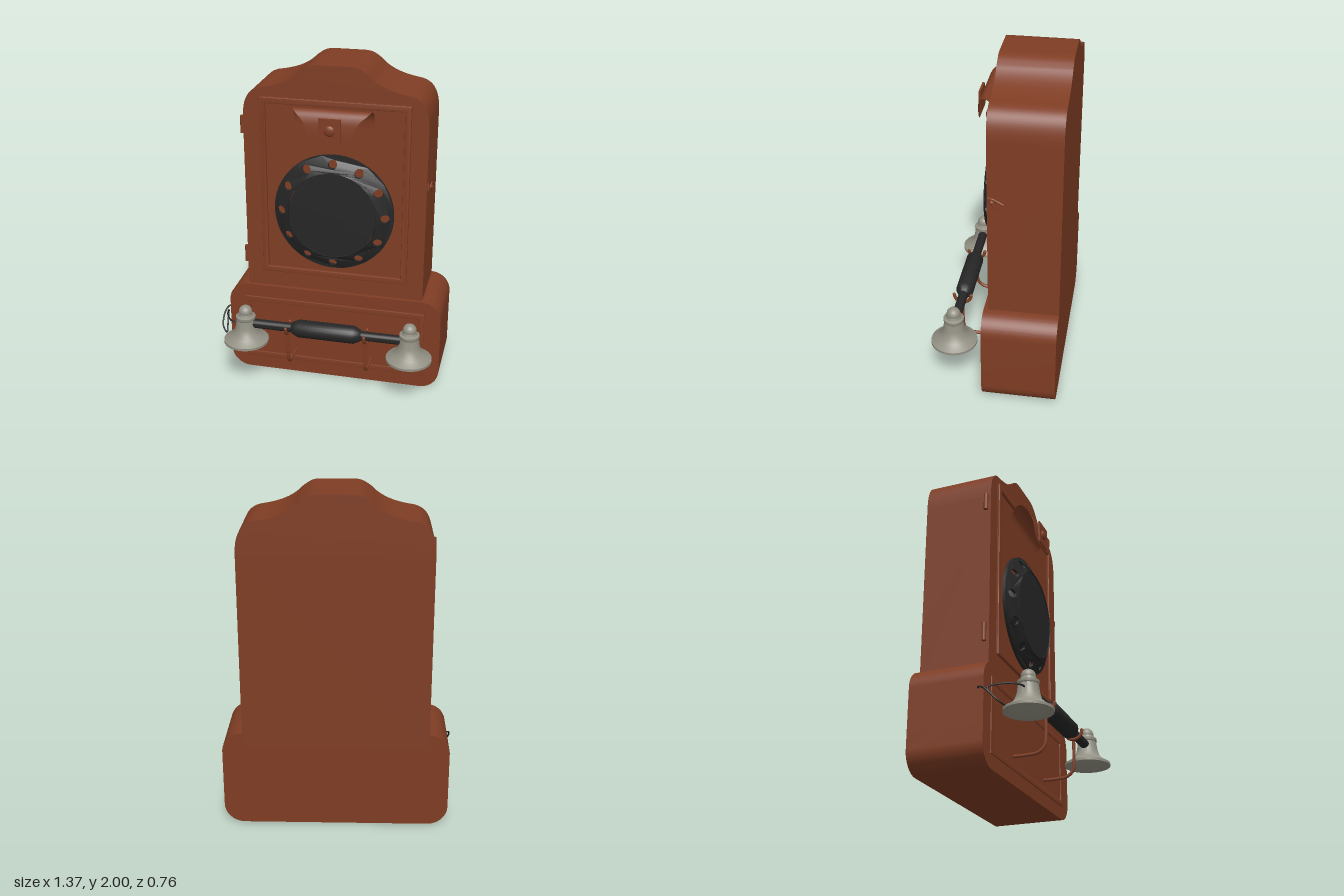
import * as THREE from 'three';
import { toCreasedNormals } from 'three/addons/utils/BufferGeometryUtils.js';

const wood = new THREE.MeshStandardMaterial({ color: 0x7f3d24, side: THREE.DoubleSide });
wood.name = 'reddish wood';
const black = new THREE.MeshStandardMaterial({ color: 0x262626 });
black.name = 'black';
const metal = new THREE.MeshStandardMaterial({ color: 0x929083 });
metal.name = 'grey metal';

const CX = 0.015; // the cabinet's centre line
const V = (x, y, z) => new THREE.Vector3(x, y, z);

export function createModel() {
  const model = new THREE.Group();
  model.name = 'wallTelephone';

  const add = (name, geometry, material, x = 0, y = 0, z = 0, parent = model) => {
    const mesh = new THREE.Mesh(geometry, material);
    mesh.name = name;
    mesh.position.set(x, y, z);
    parent.add(mesh);
    return mesh;
  };
  const extrude = (shape, depth, bevel = 0) => toCreasedNormals(new THREE.ExtrudeGeometry(shape, {
    depth, curveSegments: 16, bevelEnabled: bevel > 0, bevelSize: bevel, bevelThickness: bevel, bevelSegments: 2,
  }), 0.5);
  const tube = (points, radius, segments = 48) =>
    new THREE.TubeGeometry(new THREE.CatmullRomCurve3(points), segments, radius, 8);
  const lathe = (points, segments = 40) => toCreasedNormals(
    new THREE.LatheGeometry(points.map(([r, y]) => new THREE.Vector2(r, y)), segments), 0.6);
  const rect = (path, w, h) => path.moveTo(-w, -h).lineTo(w, -h).lineTo(w, h).lineTo(-w, h).closePath();

  // Upper cabinet with its curved crest
  const crest = new THREE.Shape();
  crest.moveTo(-0.545, 0.5);
  crest.lineTo(0.545, 0.5);
  crest.lineTo(0.545, 1.66);
  crest.bezierCurveTo(0.545, 1.78, 0.51, 1.84, 0.43, 1.855);
  crest.bezierCurveTo(0.33, 1.87, 0.25, 1.9, 0.2, 1.955);
  crest.bezierCurveTo(0.16, 1.985, 0.14, 2, 0.09, 2);
  crest.lineTo(-0.09, 2);
  crest.bezierCurveTo(-0.14, 2, -0.16, 1.985, -0.2, 1.955);
  crest.bezierCurveTo(-0.25, 1.9, -0.33, 1.87, -0.43, 1.855);
  crest.bezierCurveTo(-0.51, 1.84, -0.545, 1.78, -0.545, 1.66);
  add('upperCabinet', extrude(crest, 0.41), wood, CX, 0, -0.38);

  // Lower box with rounded corners
  const w = 0.665, h = 0.295, r = 0.12;
  const box = new THREE.Shape();
  box.absarc(w - r, h - r, r, 0, Math.PI / 2);
  box.absarc(r - w, h - r, r, Math.PI / 2, Math.PI);
  box.absarc(r - w, r - h, r, Math.PI, Math.PI * 1.5);
  box.absarc(w - r, r - h, r, Math.PI * 1.5, Math.PI * 2);
  add('lowerBox', extrude(box, 0.435), wood, CX, h, -0.38);

  // Raised frame mouldings on both fronts
  const frame = (name, halfW, halfH, y, z, lift) => {
    const b = 0.005;
    const shape = rect(new THREE.Shape(), halfW - b, halfH - b);
    shape.holes.push(rect(new THREE.Path(), halfW - 0.037 + b, halfH - 0.037 + b));
    add(name, extrude(shape, lift, b), wood, CX, y, z);
  };
  frame('doorFrame', 0.445, 0.555, 1.245, 0.03, 0.01);
  frame('boxFrame', 0.565, 0.215, 0.295, 0.052, 0.003);

  // Dial: a sloping ring pierced by twelve finger holes
  const dial = new THREE.Group();
  dial.name = 'dial';
  dial.position.set(CX, 1.12, 0.03);
  model.add(dial);
  const ring = new THREE.Shape();
  ring.absarc(0, 0, 0.36, 0, Math.PI * 2);
  const inner = new THREE.Path();
  inner.absarc(0, 0, 0.265, 0, Math.PI * 2, true);
  ring.holes.push(inner);
  for (let i = 0; i < 12; i++) {
    const a = i * Math.PI / 6, hole = new THREE.Path();
    hole.absarc(0.312 * Math.cos(a), 0.312 * Math.sin(a), 0.026, 0, Math.PI * 2, true);
    ring.holes.push(hole);
  }
  const ringGeo = new THREE.ExtrudeGeometry(ring, { depth: 0.018, bevelEnabled: false, curveSegments: 32 });
  const p = ringGeo.attributes.position;
  for (let i = 0; i < p.count; i++) {
    const radius = Math.hypot(p.getX(i), p.getY(i));
    p.setZ(i, p.getZ(i) + (0.36 - radius) / 0.095 * 0.052);
  }
  ringGeo.computeVertexNormals();
  add('dialRing', toCreasedNormals(ringGeo, 0.5), black, 0, 0, 0, dial);
  const disc = new THREE.CylinderGeometry(0.262, 0.266, 0.064, 64);
  add('dialCentre', disc, black, 0, 0, 0.032, dial).rotation.x = Math.PI / 2;

  // Bent speaking hood: each point holds half-width, height and depth
  const hoodLine = new THREE.CatmullRomCurve3([
    V(0.215, 1.635, 0.036), V(0.235, 1.66, 0.036), V(0.235, 1.71, 0.042), V(0.235, 1.75, 0.064),
    V(0.23, 1.765, 0.09), V(0.21, 1.75, 0.118), V(0.165, 1.71, 0.138), V(0.14, 1.66, 0.145),
    V(0.122, 1.61, 0.147), V(0.085, 1.58, 0.147),
  ]);
  const hood = new THREE.PlaneGeometry(1, 1, 4, 40);
  const hp = hood.attributes.position;
  for (let i = 0; i < hp.count; i++) {
    const q = hoodLine.getPoint(0.5 - hp.getY(i));
    hp.setXYZ(i, hp.getX(i) * 2 * q.x, q.y, q.z);
  }
  hood.computeVertexNormals();
  add('hood', hood, wood, CX);
  add('hoodPlate', new THREE.BoxGeometry(0.13, 0.14, 0.012), wood, CX, 1.66, 0.15);
  const knob = add('hoodKnob', new THREE.SphereGeometry(0.032, 24, 16), wood, CX, 1.66, 0.155);
  knob.scale.z = 0.45;

  // Door hinges and the catch on the other side
  for (const y of [0.78, 1.615]) {
    add('hinge', new THREE.CylinderGeometry(0.013, 0.013, 0.105, 16), wood, -0.543, y, 0.005);
  }
  const latch = new THREE.Group();
  latch.name = 'latch';
  latch.position.set(0.56, 1.32, 0);
  model.add(latch);
  add('latchPlate', new THREE.BoxGeometry(0.014, 0.035, 0.05), wood, 0.006, 0, 0.004, latch);
  add('latchPin', new THREE.SphereGeometry(0.015, 12, 8), wood, 0.016, 0, 0, latch);
  add('latchHook', tube([V(0.018, 0.01, 0.022), V(0.022, 0.025, 0), V(0.022, 0.012, -0.03),
    V(0.026, -0.005, -0.065)], 0.006, 20), wood, 0, 0, 0, latch);
  add('latchLever', tube([V(0.012, 0.03, 0.02), V(0.02, 0.005, 0), V(0.024, -0.018, -0.012),
    V(0.02, -0.038, -0.022)], 0.006, 20), wood, 0, 0, 0, latch);

  // Two cradle hooks, each ending in a U under the handset
  const HY = 0.425, HZ = 0.243;
  for (const side of [-1, 1]) {
    const hook = new THREE.Group();
    hook.name = 'cradleHook';
    hook.position.x = CX + side * 0.24;
    model.add(hook);
    add('hookArm', tube([V(0, 0.16, 0.04), V(0, 0.16, 0.14), V(0, 0.168, 0.2), V(0, 0.2, 0.235),
      V(0, 0.26, HZ), V(0, 0.375, HZ)], 0.01), wood, 0, 0, 0, hook);
    const fork = [];
    for (let i = 0; i <= 8; i++) {
      const a = Math.PI * (1 + i / 8);
      fork.push(V(0, HY + 0.015 + 0.052 * Math.sin(a), HZ + 0.052 * Math.cos(a)));
    }
    add('hookFork', tube(fork, 0.01, 24), wood, 0, 0, 0, hook);
    for (const end of [fork[0], fork[8]]) {
      add('hookTip', new THREE.SphereGeometry(0.01, 10, 8), wood, 0, end.y, end.z, hook);
    }
  }

  // Handset bar with its thick grip
  const grip = lathe([[0, -0.49], [0.028, -0.49], [0.028, -0.215], [0.036, -0.208], [0.054, -0.17],
    [0.054, 0.17], [0.036, 0.208], [0.028, 0.215], [0.028, 0.49], [0, 0.49]], 24);
  add('handset', grip, black, CX, HY, HZ).rotation.z = -Math.PI / 2;

  // Hollow bells at both ends of the handset
  const bell = lathe([[0, 0.38], [0.04, 0.37], [0.065, 0.345], [0.095, 0.325], [0.128, 0.302], [0.137, 0.3],
    [0.137, 0.315], [0.125, 0.322], [0.095, 0.342], [0.074, 0.366], [0.063, 0.4], [0.056, 0.45],
    [0.06, 0.456], [0.06, 0.472], [0.046, 0.478], [0.042, 0.49], [0, 0.492]]);
  for (const side of [-1, 1]) {
    const x = CX + side * 0.505;
    add('bell', bell, metal, x, 0, HZ);
    add('bellBall', new THREE.SphereGeometry(0.041, 28, 20), metal, x, 0.5, HZ);
  }

  // Looping cord from the handset to the box
  add('cord', tube([V(-0.52, 0.42, HZ), V(-0.58, 0.42, 0.238), V(-0.63, 0.42, 0.17), V(-0.655, 0.4, 0.08),
    V(-0.65, 0.34, 0.12), V(-0.642, 0.295, 0.17), V(-0.675, 0.32, 0.14), V(-0.68, 0.39, 0.07),
    V(-0.66, 0.41, 0.03), V(-0.63, 0.4, 0.02)], 0.005, 90), black);

  return model;
}
